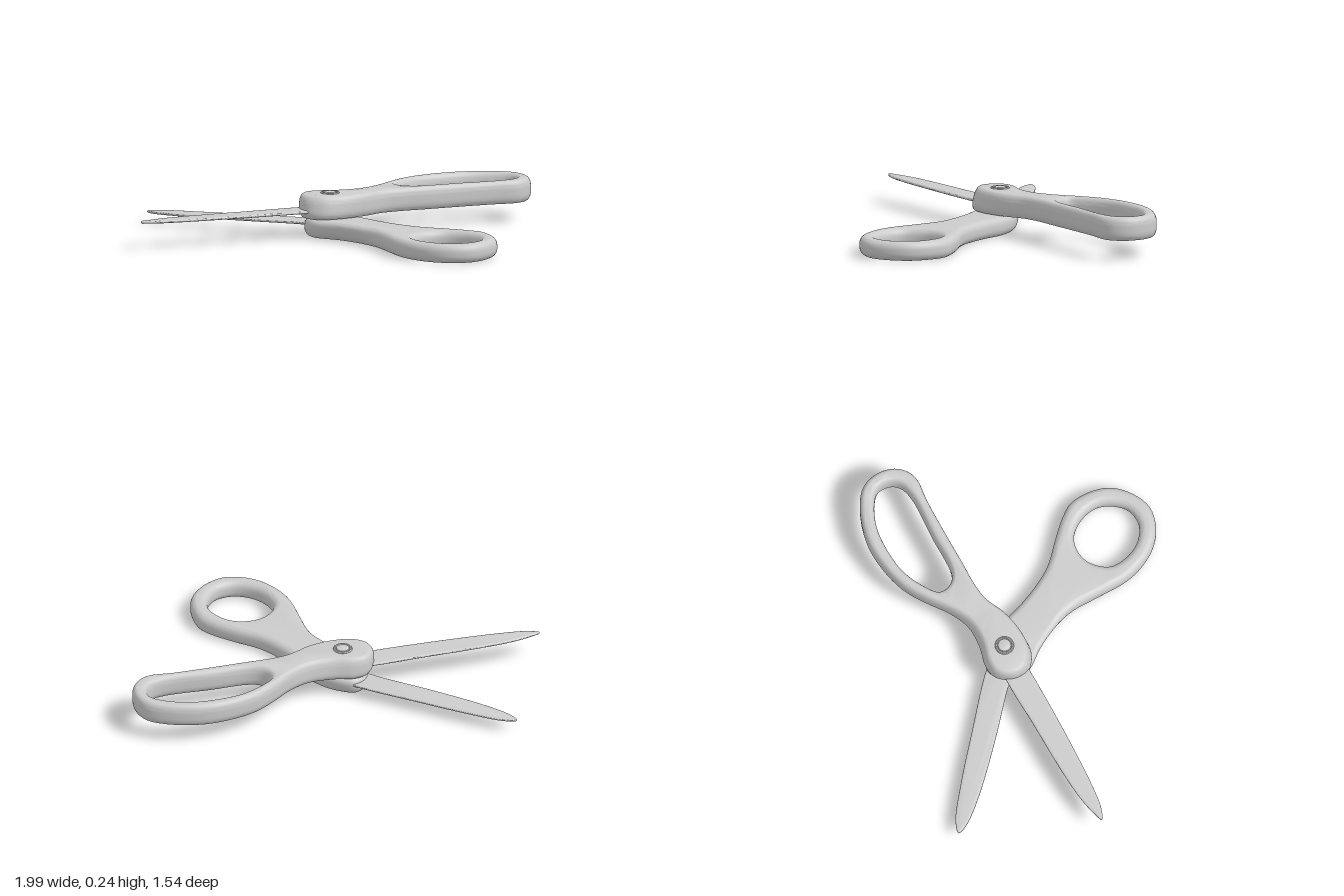
import * as THREE from 'three';
import { toCreasedNormals } from 'three/addons/utils/BufferGeometryUtils.js';

const material = new THREE.MeshStandardMaterial({ color: 0xcccccc });
const pivot = new THREE.Vector3(-0.03, 0, -0.067);

// Closed smooth counter-clockwise outline through [x, z] points, seen from above
function outline(points, divisions, Type = THREE.Shape) {
  const curve = new THREE.CatmullRomCurve3(
    points.map(([x, z]) => new THREE.Vector3(x, -z, 0)), true, 'centripetal');
  const pts = curve.getPoints(divisions).slice(0, -1).map((p) => new THREE.Vector2(p.x, p.y));
  return new Type(THREE.ShapeUtils.isClockWise(pts) ? pts.reverse() : pts);
}

// Lying slab between two heights with rounded edges
function slab(shape, bottom, top, bevelSize, bevelThickness, bevelSegments) {
  const geometry = new THREE.ExtrudeGeometry(shape, {
    depth: top - bottom - 2 * bevelThickness,
    bevelSize, bevelThickness, bevelSegments, bevelOffset: -bevelSize,
  });
  geometry.rotateX(-Math.PI / 2);
  return geometry.translate(0, bottom + bevelThickness, 0);
}

function addMesh(group, name, geometry, crease = 0.8) {
  const mesh = new THREE.Mesh(toCreasedNormals(geometry, crease), material);
  mesh.name = name;
  group.add(mesh);
}

// Handle with one loop; its pivot end flares towards the mating side (+1 top, -1 bottom)
function handle(outer, hole, bottom, top, bevelSize, bevelThickness, matingSide) {
  const shape = outline(outer, 104);
  shape.holes.push(outline(hole, 64, THREE.Path));
  const geometry = slab(shape, bottom, top, bevelSize, bevelThickness, 7);
  const pos = geometry.attributes.position;
  for (let i = 0; i < pos.count; i++) {
    const fade = 1 - THREE.MathUtils.smoothstep(pos.getX(i), 0, 0.25);
    const height = (2 * pos.getY(i) - bottom - top) / (top - bottom);
    const flare = 1 + 0.1 * fade * height * matingSide;
    pos.setZ(i, pivot.z + (pos.getZ(i) - pivot.z) * flare);
  }
  return geometry;
}

export function createModel() {
  const group = new THREE.Group();
  group.name = 'scissors';

  // Upper handle with a long finger loop
  addMesh(group, 'upperHandle', handle([
    [-0.19, -0.06], [-0.165, -0.13], [-0.1, -0.17], [0, -0.19], [0.11, -0.24],
    [0.19, -0.33], [0.265, -0.465], [0.34, -0.575], [0.46, -0.675], [0.59, -0.742],
    [0.75, -0.772], [0.89, -0.755], [0.96, -0.695], [0.995, -0.6], [0.98, -0.52],
    [0.93, -0.465], [0.81, -0.42], [0.62, -0.335], [0.45, -0.255], [0.33, -0.2],
    [0.245, -0.145], [0.165, -0.055], [0.06, 0.025], [-0.05, 0.068], [-0.14, 0.05],
    [-0.18, 0],
  ], [
    [0.298, -0.385], [0.335, -0.465], [0.42, -0.565], [0.53, -0.635], [0.675, -0.69],
    [0.81, -0.695], [0.885, -0.67], [0.915, -0.605], [0.9, -0.55], [0.835, -0.497],
    [0.62, -0.407], [0.405, -0.317], [0.335, -0.33],
  ], 0.102, 0.225, 0.026, 0.045, -1));

  // Lower handle with a round thumb loop
  addMesh(group, 'lowerHandle', handle([
    [-0.12, 0.05], [0.005, 0.12], [0.11, 0.2], [0.2, 0.295], [0.27, 0.43],
    [0.35, 0.59], [0.43, 0.68], [0.54, 0.748], [0.65, 0.765], [0.755, 0.735],
    [0.835, 0.64], [0.867, 0.535], [0.85, 0.43], [0.795, 0.33], [0.715, 0.28],
    [0.595, 0.235], [0.46, 0.19], [0.355, 0.125], [0.245, 0.03], [0.155, -0.065],
    [0.06, -0.13], [-0.03, -0.16], [-0.11, -0.16], [-0.155, -0.11], [-0.16, -0.03],
  ], [
    [0.43, 0.51], [0.46, 0.405], [0.525, 0.35], [0.61, 0.335], [0.7, 0.375],
    [0.765, 0.455], [0.775, 0.535], [0.745, 0.625], [0.665, 0.675], [0.565, 0.665],
    [0.48, 0.605],
  ], 0, 0.1, 0.036, 0.042, 1));

  // Blades, rooted inside the handles
  const upperBlade = outline([
    [0, -0.14], [-0.2, -0.065], [-0.45, 0.06], [-0.715, 0.19], [-0.875, 0.28],
    [-0.96, 0.345], [-0.997, 0.383], [-0.93, 0.383], [-0.82, 0.35], [-0.5, 0.22],
    [-0.13, 0.05], [0, -0.02],
  ], 72);
  addMesh(group, 'upperBlade', slab(upperBlade, 0.133, 0.149, 0.012, 0.006, 3));
  const lowerBlade = outline([
    [0.02, -0.1], [-0.085, -0.16], [-0.45, -0.265], [-0.715, -0.335], [-0.93, -0.378],
    [-0.997, -0.366], [-0.96, -0.325], [-0.82, -0.255], [-0.5, -0.145],
    [-0.21, -0.06], [0, 0.02],
  ], 66);
  addMesh(group, 'lowerBlade', slab(lowerBlade, 0.058, 0.074, 0.012, 0.006, 3));

  // Pivot screw with a grooved, slightly domed head
  const profile = [[0.05, 0.2], [0.05, 0.226], [0.046, 0.231], [0.04, 0.231],
    [0.036, 0.227], [0.033, 0.231], [0.018, 0.235], [0, 0.236]];
  const screw = new THREE.LatheGeometry(profile.map(([r, y]) => new THREE.Vector2(r, y)), 32);
  addMesh(group, 'pivotScrew', screw.translate(pivot.x, 0, pivot.z), 0.6);

  // Pin joining both handles through the pivot
  const pin = new THREE.CylinderGeometry(0.04, 0.04, 0.16, 24);
  addMesh(group, 'pivotPin', pin.translate(pivot.x, 0.11, pivot.z));

  return group;
}
